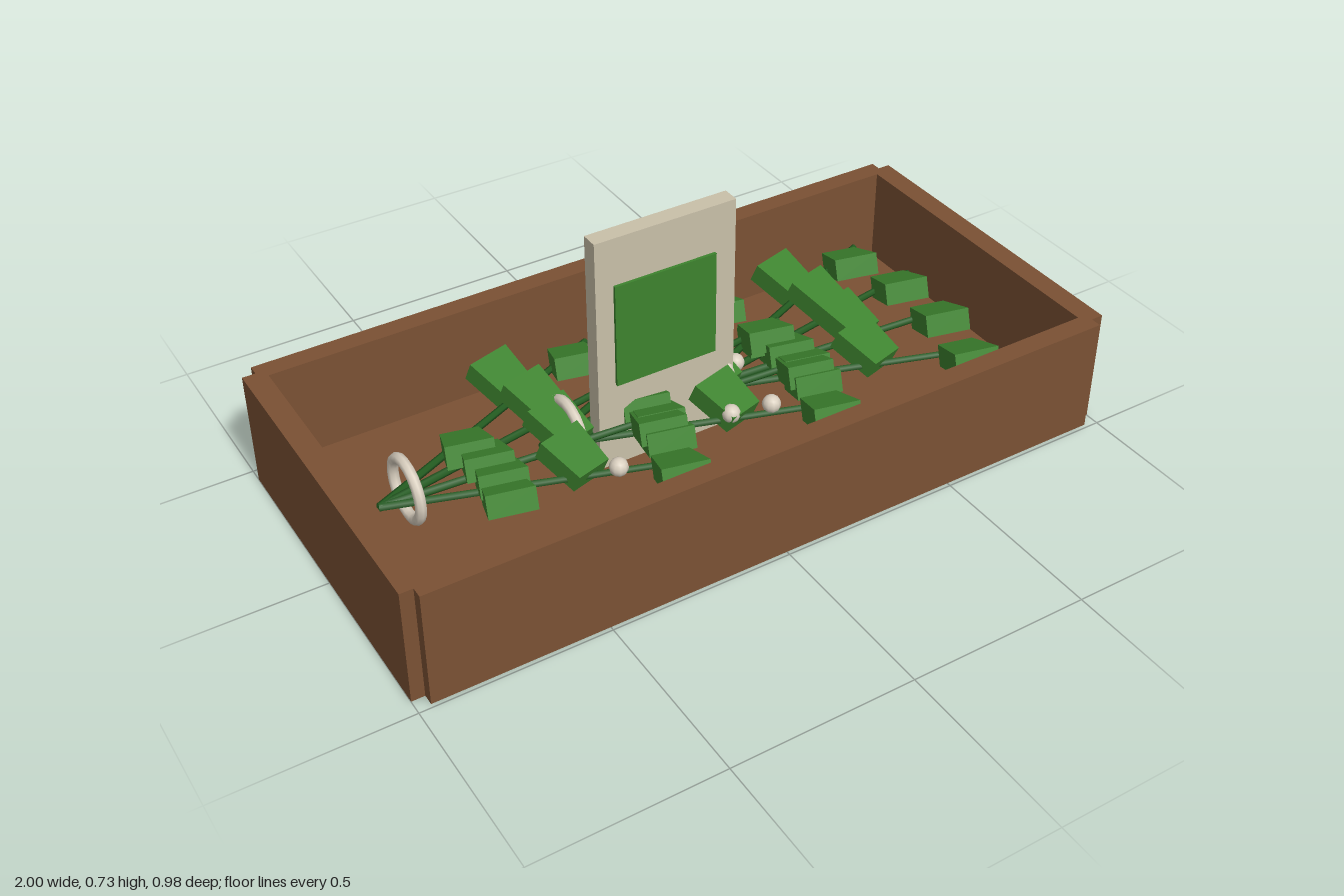
import * as THREE from 'three';

const flat = (name, color) => {
  const m = new THREE.MeshStandardMaterial({ color });
  m.name = name;
  return m;
};

export function createModel() {
  const wood = flat('brown wood', 0x7b5134);
  const board = flat('pale board', 0xc9c0a9);
  const leafGreen = flat('leaf green', 0x3d832e);
  const stemGreen = flat('stem green', 0x235c20);
  const cream = flat('cream', 0xd9cfbf);

  const model = new THREE.Group();
  model.name = 'planter';

  const add = (parent, name, geometry, material, x = 0, y = 0, z = 0) => {
    const mesh = new THREE.Mesh(geometry, material);
    mesh.name = name;
    mesh.position.set(x, y, z);
    parent.add(mesh);
    return mesh;
  };
  // Box given by its two extreme corners
  const block = (name, material, [x0, y0, z0], [x1, y1, z1]) =>
    add(model, name, new THREE.BoxGeometry(x1 - x0, y1 - y0, z1 - z0), material,
      (x0 + x1) / 2, (y0 + y1) / 2, (z0 + z1) / 2);

  // Tray: floor, long walls, and end walls that stand slightly proud
  block('trayFloor', wood, [-0.96, 0, -0.455], [0.96, 0.05, 0.455]);
  for (const s of [-1, 1]) {
    add(model, 'longWall', new THREE.BoxGeometry(1.93, 0.325, 0.055), wood, 0, 0.1625, s * 0.4625);
    add(model, 'endWall', new THREE.BoxGeometry(0.06, 0.325, 0.92), wood, s * 0.97, 0.1625, 0);
  }

  // Upright board with its square panel, its foot showing through the floor
  block('signBoard', board, [-0.26, -0.001, -0.022], [0.14, 0.728, 0.025]);
  block('signPanel', leafGreen, [-0.21, 0.30, 0.025], [0.08, 0.595, 0.033]);

  // Thick leaf, growing along +z and flaring towards its outer end
  const leafGeometry = new THREE.BoxGeometry(0.1, 0.06, 0.13);
  leafGeometry.translate(0, 0, 0.065);
  const p = leafGeometry.attributes.position;
  for (let i = 0; i < p.count; i++) if (p.getZ(i) > 0.06) p.setX(i, p.getX(i) * 1.25);
  leafGeometry.computeVertexNormals();

  // Four stems fan out from one root; leaves alternate between their sides
  const root = new THREE.Vector3(-0.84, 0.14, -0.035);
  const tips = [[-0.1, -0.33], [-0.05, -0.14], [-0.05, 0.06], [-0.1, 0.26]];
  const leafSpots = [[0.37, 1], [0.65, -1], [0.9, 1]];

  for (let b = 0; b < 3; b++) {
    const bunch = new THREE.Group();
    bunch.name = 'vineBunch';
    bunch.position.x = b * 0.445;
    model.add(bunch);

    for (const [tx, tz] of tips) {
      const tip = new THREE.Vector3(tx, 0.18, tz);
      const path = new THREE.LineCurve3(root, tip);
      const dir = tip.clone().sub(root);
      const mid = path.getPoint(0.5);
      const stem = add(bunch, 'stem', new THREE.CylinderGeometry(0.009, 0.011, dir.length(), 6),
        stemGreen, mid.x, mid.y, mid.z);
      stem.quaternion.setFromUnitVectors(new THREE.Vector3(0, 1, 0), dir.normalize());

      for (const [t, side] of leafSpots) {
        const at = path.getPoint(t);
        const leaf = add(bunch, 'leaf', leafGeometry, leafGreen, at.x, at.y, at.z);
        leaf.rotation.order = 'YXZ';
        leaf.rotation.set(-0.4, side > 0 ? -0.22 : Math.PI + 0.28, 0);
      }
    }

    // Ring that ties the stems together near the root
    const ring = add(bunch, 'tieRing', new THREE.TorusGeometry(0.08, 0.015, 8, 20), cream, -0.765, 0.165, -0.035);
    ring.rotation.y = Math.PI / 2;
  }

  // Loose berries among the leaves
  for (const [x, z] of [[0.04, -0.08], [0.18, -0.025], [0.05, 0.155], [0.16, 0.175], [-0.3, 0.19]])
    add(model, 'berry', new THREE.SphereGeometry(0.025, 10, 8), cream, x, 0.19, z);

  return model;
}
